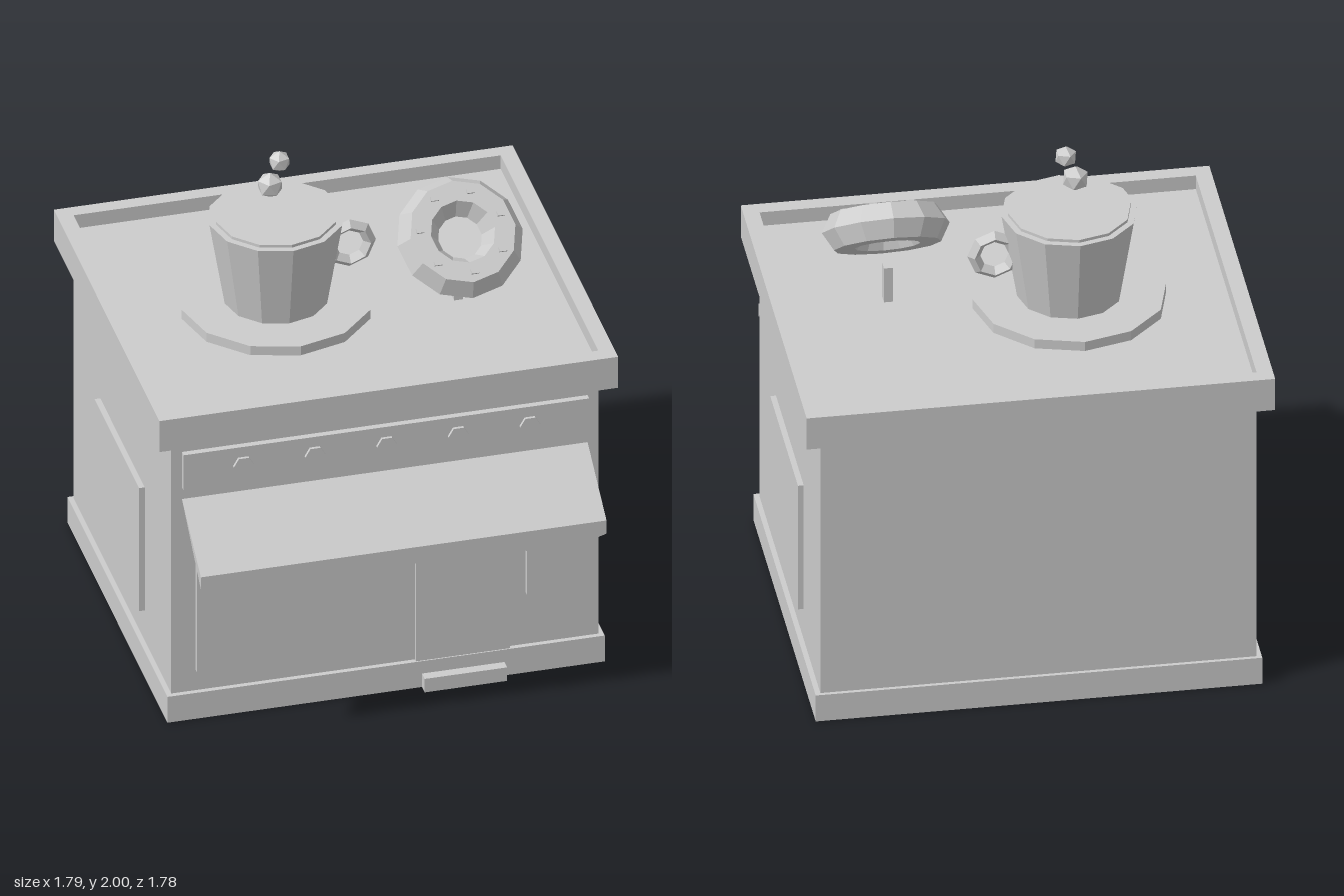
import * as THREE from 'three';

export function createModel() {
  const model = new THREE.Group();
  const grey = new THREE.MeshStandardMaterial({ color: 0xcccccc });
  grey.name = 'plainGrey';
  grey.flatShading = true;
  const greySheet = grey.clone();
  greySheet.name = 'plainGreySheet';
  greySheet.side = THREE.DoubleSide;

  const add = (name, geometry, x = 0, y = 0, z = 0, parent = model, material = grey) => {
    const mesh = new THREE.Mesh(geometry, material);
    mesh.name = name;
    mesh.position.set(x, y, z);
    parent.add(mesh);
    return mesh;
  };
  // Box given by its limits on each axis
  const block = (name, x0, x1, y0, y1, z0, z1) =>
    add(name, new THREE.BoxGeometry(x1 - x0, y1 - y0, z1 - z0),
      (x0 + x1) / 2, (y0 + y1) / 2, (z0 + z1) / 2);

  // Plinth: a box left open underneath (the bottom is the fourth face of the box)
  const plinth = block('plinth', -0.855, 0.855, 0, 0.115, -0.845, 0.63);
  const faces = Array.from(plinth.geometry.index.array);
  faces.splice(18, 6);
  plinth.geometry.setIndex(faces);
  plinth.geometry.clearGroups();
  plinth.material = greySheet;

  // Building shell
  block('walls', -0.835, 0.835, 0.115, 1.24, -0.83, 0.61);
  block('roofSlab', -0.897, 0.897, 1.237, 1.315, -0.89, 0.67);
  block('doorStep', 0.14, 0.463, 0, 0.06, 0.6, 0.67);

  // Parapet: a rectangular frame around the roof
  const rect = (Type, x, z0, z1) => new Type([
    new THREE.Vector2(-x, -z1), new THREE.Vector2(x, -z1),
    new THREE.Vector2(x, -z0), new THREE.Vector2(-x, -z0)]);
  const frame = rect(THREE.Shape, 0.897, -0.89, 0.67);
  frame.holes.push(rect(THREE.Path, 0.835, -0.832, 0.608));
  add('parapet', new THREE.ExtrudeGeometry(frame, { depth: 0.06, bevelEnabled: false })
    .rotateX(-Math.PI / 2), 0, 1.315, 0);

  // Door and windows
  block('door', 0.118, 0.485, 0.115, 0.795, 0.6, 0.625);
  block('largeFrontWindow', -0.74, -0.056, 0.207, 0.795, 0.6, 0.63);
  block('smallFrontWindow', 0.55, 0.793, 0.347, 0.795, 0.6, 0.63);
  block('sideWindowLeft', 0.82, 0.857, 0.25, 0.798, -0.437, 0.22);
  block('sideWindowRight', -0.857, -0.82, 0.25, 0.798, -0.437, 0.22);

  // Sign board with round studs
  block('signBoard', -0.793, 0.793, 1.027, 1.185, 0.6, 0.635);
  for (let i = -2; i <= 2; i++) {
    add('signStud', new THREE.CylinderGeometry(0.04, 0.04, 0.03, 6, 1, false, Math.PI / 6)
      .rotateX(Math.PI / 2), i * 0.28, 1.106, 0.632);
  }

  // Awning wedge: profile in z and y, extruded along x
  const wedge = new THREE.Shape([
    new THREE.Vector2(-0.61, 0.975), new THREE.Vector2(-0.89, 0.74),
    new THREE.Vector2(-0.89, 0.795)]);
  add('awning', new THREE.ExtrudeGeometry(wedge, { depth: 1.586, bevelEnabled: false })
    .rotateY(Math.PI / 2), -0.793, 0, 0);

  // Zigzag valance along the awning's front edge
  const points = 8, step = 1.586 / points;
  const edge = [new THREE.Vector2(-0.793, 0.795)];
  for (let i = 0; i <= points * 2; i++) {
    edge.push(new THREE.Vector2(-0.793 + i * step / 2, i % 2 ? 0.706 : 0.738));
  }
  edge.push(new THREE.Vector2(0.793, 0.795));
  add('valance', new THREE.ShapeGeometry(new THREE.Shape(edge)), 0, 0, 0.892, model, greySheet);

  // Cup on its saucer
  const cup = new THREE.Group();
  cup.name = 'cup';
  cup.position.set(-0.235, 0, -0.11);
  model.add(cup);
  add('saucer', new THREE.CylinderGeometry(0.37, 0.37, 0.04, 12), 0, 1.335, 0, cup);
  add('cupBody', new THREE.CylinderGeometry(0.26, 0.2, 0.36, 12), 0, 1.533, 0, cup);
  add('drink', new THREE.CylinderGeometry(0.235, 0.235, 0.03, 12), 0, 1.71, 0, cup);
  add('cupHandle', new THREE.TorusGeometry(0.079, 0.025, 4, 8), 0.287, 1.548, 0, cup);

  // Two puffs of steam, each standing on a corner
  for (const [x, y, r] of [[-0.023, 1.855, 0.053], [0.014, 1.955, 0.044]]) {
    add('steamPuff', new THREE.IcosahedronGeometry(r, 0).rotateZ(Math.atan(0.618)), x, y, 0, cup);
  }

  // Tilted ring doughnut with sprinkles, beside its post
  block('doughnutPost', 0.425, 0.459, 1.315, 1.465, -0.012, 0.03);
  const doughnut = new THREE.Group();
  doughnut.name = 'doughnut';
  doughnut.position.set(0.442, 1.606, 0.052);
  doughnut.rotation.x = -0.88;
  model.add(doughnut);
  add('doughnutRing', new THREE.TorusGeometry(0.165, 0.08, 6, 12), 0, 0, 0, doughnut);
  for (let i = 0; i < 7; i++) {
    const a = 0.3 + i * Math.PI * 2 / 7;
    add('sprinkle', new THREE.BoxGeometry(0.03, 0.018, 0.01),
      0.165 * Math.cos(a), 0.165 * Math.sin(a), 0.073, doughnut);
  }

  return model;
}
